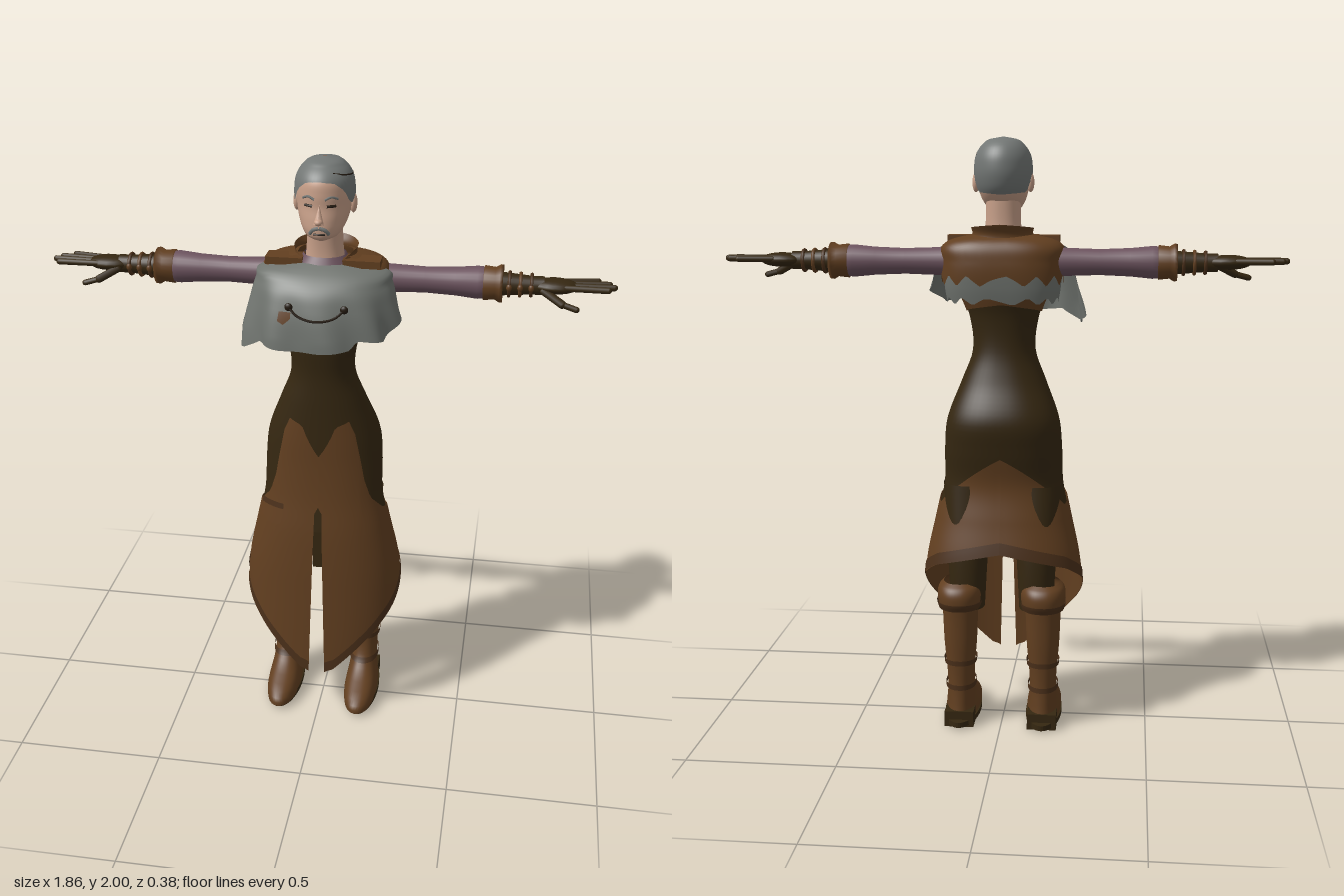
import * as THREE from 'three';
import { mergeVertices } from 'three/addons/utils/BufferGeometryUtils.js';

const mat = (name, color, side = THREE.DoubleSide) => {
  const m = new THREE.MeshStandardMaterial({ color, side });
  m.name = name;
  return m;
};
const brown = mat('brown leather', 0x623f20), dark = mat('dark leather', 0x352711), trim = mat('dark brown trim', 0x4b301a);
const grey = mat('grey cloth', 0x70746f), purple = mat('purple sleeve', 0x6c535e), skin = mat('skin', 0xc8a089);
const hairGrey = mat('grey hair', 0x737775), black = mat('dark detail', 0x241a10);

const V = (x, y, z) => new THREE.Vector3(x, y, z);
const mesh = (name, geo, material, parent) => {
  const m = new THREE.Mesh(geo, material);
  m.name = name;
  parent.add(m);
  return m;
};

// Piecewise line through [angle, height] pairs, or a constant
const line = (k) => {
  if (typeof k === 'number') return () => k;
  const f = new THREE.LinearInterpolant(k.map((p) => p[0]), k.map((p) => p[1]), 1);
  return (t) => f.evaluate(t)[0];
};
// Mirrors an edge given for angles 0..PI onto the full turn
const sym = (k) => {
  const f = line(k);
  return (t) => f(t > Math.PI ? 2 * Math.PI - t : Math.abs(t));
};

// Surface from rows of [y, half width, front z, back z]; angle 0 faces front, PI/2 faces +x
function surface(rows, centre, p = 0.9) {
  const f = new THREE.CubicInterpolant(rows.map((r) => r[0]), rows.flatMap((r) => r.slice(1)), 3);
  const pow = (v) => Math.sign(v) * Math.abs(v) ** p;
  return (t, y, grow = 0) => {
    const [w, zf, zb] = f.evaluate(y);
    const c = centre ?? (zf + zb) / 2;
    const s = pow(Math.sin(t)), k = pow(Math.cos(t));
    return V((Math.max(w, 0) + grow) * s, y, c + ((k > 0 ? zf - c : c - zb) + grow) * k);
  };
}

// Sheet of a surface between two edges
function sheet(surf, { a0 = 0, a1 = Math.PI * 2, top, bottom, grow = 0, n = 48, m = 20, adjust }) {
  const up = typeof top === 'function' ? top : line(top), low = typeof bottom === 'function' ? bottom : line(bottom);
  const pos = [], idx = [];
  for (let i = 0; i <= n; i++) {
    const t = a0 + ((a1 - a0) * i) / n;
    for (let j = 0; j <= m; j++) {
      const y = THREE.MathUtils.lerp(up(t), low(t), j / m);
      const v = surf(t, y, grow);
      if (adjust) adjust(v, t);
      pos.push(v.x, v.y, v.z);
      if (i < n && j < m) {
        const a = i * (m + 1) + j, d = a + m + 1;
        idx.push(a, a + 1, d, a + 1, d + 1, d);
      }
    }
  }
  let g = new THREE.BufferGeometry();
  g.setAttribute('position', new THREE.Float32BufferAttribute(pos, 3));
  g.setIndex(idx);
  g = mergeVertices(g, 1e-5);
  g.computeVertexNormals();
  return g;
}

const tube = (pts, r) => new THREE.TubeGeometry(new THREE.CatmullRomCurve3(pts), 24, r, 6);
function rod(name, a, b, r, material, parent) {
  const d = b.clone().sub(a);
  const o = mesh(name, new THREE.CapsuleGeometry(r, d.length(), 4, 8), material, parent);
  o.position.copy(a).addScaledVector(d, 0.5);
  o.quaternion.setFromUnitVectors(V(0, 1, 0), d.normalize());
}
function ball(name, x, y, z, sx, sy, sz, material, parent) {
  const o = mesh(name, new THREE.SphereGeometry(1, 16, 12), material, parent);
  o.position.set(x, y, z);
  o.scale.set(sx, sy, sz);
  return o;
}

function buildHead(g) {
  const neck = surface([[1.6, 0.075, 0.04, -0.1], [1.7, 0.06, 0.03, -0.085], [1.82, 0.056, 0.04, -0.085]]);
  mesh('neck', sheet(neck, { top: 1.82, bottom: 1.6 }), skin, g);
  const head = surface([[1.752, 0.012, 0.06, 0.02], [1.765, 0.046, 0.085, -0.03], [1.785, 0.064, 0.092, -0.07],
    [1.82, 0.079, 0.09, -0.11], [1.86, 0.087, 0.083, -0.128], [1.9, 0.089, 0.083, -0.132],
    [1.945, 0.08, 0.073, -0.122], [1.975, 0.058, 0.042, -0.097], [1.99, 0.034, 0.012, -0.066], [1.996, 0, -0.025, -0.026]], undefined, 1);
  mesh('head', sheet(head, { top: 1.996, bottom: 1.752, m: 32 }), skin, g);
  const hairline = sym([[0, 1.94], [0.5, 1.935], [0.85, 1.91], [1.1, 1.87], [1.35, 1.86], [1.6, 1.885], [1.85, 1.85], [2, 1.82], [Math.PI, 1.812]]);
  mesh('hair', sheet(head, { top: 1.996, bottom: hairline, grow: 0.007 }), hairGrey, g).position.y = 0.004;
  mesh('hairParting', tube([0.5, 0.9, 1.4, 2].map((t, i) => head(t, 1.965 - i * 0.007, 0.009)), 0.0025), black, g);
  const nose = mesh('nose', new THREE.ConeGeometry(0.017, 0.06, 8), skin, g);
  nose.position.set(0, 1.845, 0.094);
  nose.rotation.x = -0.3;
  ball('noseTip', 0, 1.825, 0.104, 0.014, 0.011, 0.017, skin, g);
  mesh('mouth', tube([-0.5, 0, 0.5].map((t) => head(t * 0.6, 1.782, 0.001)), 0.003), black, g);
  for (const s of [-1, 1]) {
    ball('ear', s * 0.09, 1.855, -0.03, 0.012, 0.032, 0.02, skin, g);
    mesh('eye', tube([0.25, 0.4, 0.58].map((t) => head(s * t, 1.868, 0)), 0.0045), black, g);
    mesh('eyebrow', tube([0.18, 0.4, 0.65].map((t, i) => head(s * t, [1.889, 1.897, 1.89][i], 0.001)), 0.004), hairGrey, g);
    mesh('moustache', tube([0, 0.25, 0.48].map((t, i) => head(s * t, [1.803, 1.797, 1.783][i], 0.003)), 0.006), hairGrey, g);
  }
}

function buildClothes(g) {
  // Fitted body and split coat skirt share one profile
  const body = surface([[0.18, 0.24, 0.16, -0.19], [0.3, 0.262, 0.155, -0.19], [0.5, 0.267, 0.145, -0.19], [0.6, 0.256, 0.14, -0.178],
    [0.73, 0.228, 0.13, -0.148], [0.85, 0.204, 0.115, -0.127], [0.97, 0.2, 0.107, -0.148], [1.07, 0.19, 0.105, -0.16],
    [1.2, 0.142, 0.102, -0.11], [1.3, 0.106, 0.1, -0.086], [1.42, 0.118, 0.11, -0.092], [1.5, 0.145, 0.1, -0.115], [1.66, 0.16, 0.05, -0.12]]);
  mesh('bodice', sheet(body, { top: 1.46, bottom: 0.74, m: 36 }), dark, g);
  mesh('upperTorso', sheet(body, { top: 1.66, bottom: sym([[0, 1.43], [1.6, 1.43], [Math.PI, 1.46]]), grow: 0.006 }), brown, g);
  const waist = sym([[0, 1.02], [0.28, 1.13], [0.6, 1.15], [0.68, 1.08], [0.74, 0.95], [0.95, 0.86], [1.3, 0.81], [1.9, 0.78], [2.5, 0.86], [Math.PI, 0.95]]);
  const hemKeys = [[0, 0.18], [0.2, 0.2], [0.5, 0.28], [0.87, 0.37], [1.57, 0.51], [2.2, 0.575], [Math.PI, 0.63]];
  const hem = sym(hemKeys), hemTop = sym(hemKeys.map(([t, y]) => [t, y + 0.04]));
  for (const s of [1, -1]) {
    // Each half opens at the front below the slit
    const slit = (v, t) => {
      if (Math.cos(t) > 0 && v.y < 0.82) v.x = s * Math.max(s * v.x, 0.012 + (0.82 - v.y) * 0.026);
    };
    const half = { a0: s > 0 ? 0 : Math.PI, a1: s > 0 ? Math.PI : 2 * Math.PI, adjust: slit };
    mesh('coatSkirt', sheet(body, { ...half, top: waist, bottom: hem, grow: 0.006, m: 36 }), brown, g);
    mesh('coatHem', sheet(body, { ...half, top: hemTop, bottom: hem, grow: 0.009, m: 3 }), trim, g);
  }
  mesh('pocket', sheet(body, { a0: -1.05, a1: -0.55, top: 0.83, bottom: 0.74, grow: 0.013, n: 8 }), brown, g);
  mesh('pocketFlap', sheet(body, { a0: -1.08, a1: -0.52, top: 0.835, bottom: 0.815, grow: 0.018, n: 8, m: 2 }), trim, g);
  const strip = mesh('slitLining', new THREE.BoxGeometry(0.04, 0.24, 0.01), dark, g);
  strip.position.set(0, 0.71, 0.105);

  // Draped front shawl with folds
  const cape = surface([[1.39, 0.272, 0.185, 0], [1.46, 0.262, 0.178, 0], [1.55, 0.24, 0.158, 0], [1.61, 0.222, 0.13, 0], [1.65, 0.198, 0.085, 0], [1.67, 0.1, 0.045, 0]], -0.015);
  const folds = (v, t) => {
    const f = 1 + 0.045 * Math.sin(t * 10 + v.y * 9) * Math.min(1, Math.max(0, (1.62 - v.y) * 6));
    v.x *= f;
    v.z *= f;
  };
  const capeHem = [[-1.7, 1.42], [-1.3, 1.39], [-1.05, 1.395], [-0.8, 1.43], [-0.4, 1.42], [0, 1.42], [0.4, 1.43], [0.5, 1.46], [0.9, 1.45], [1.3, 1.49], [1.7, 1.52]];
  mesh('shawl', sheet(cape, { a0: -1.7, a1: 1.7, top: 1.67, bottom: capeHem, n: 72, m: 24, adjust: folds }), grey, g);
  const onCape = (t, y, grow) => {
    const v = cape(t, y, grow);
    folds(v, t);
    return v;
  };
  mesh('shawlChain', tube([-0.34, -0.2, 0, 0.2, 0.34].map((t, i) => onCape(t, [1.56, 1.535, 1.525, 1.535, 1.56][i], 0.005)), 0.004), black, g);
  for (const t of [-0.34, 0.34]) {
    const v = onCape(t, 1.56, 0.004);
    ball('shawlButton', v.x, v.y, v.z, 0.013, 0.013, 0.008, black, g);
  }
  mesh('shawlPatch', sheet(cape, { a0: -0.46, a1: -0.3, top: 1.545, bottom: [[-0.46, 1.515], [-0.38, 1.505], [-0.3, 1.525]], grow: 0.006, n: 8, m: 6, adjust: folds }), brown, g);

  // Back of the shawl, jagged yoke and collar
  const back = surface([[1.44, 0.178, 0.04, -0.15], [1.52, 0.192, 0.04, -0.165], [1.6, 0.194, 0.04, -0.168], [1.655, 0.188, 0.045, -0.155], [1.675, 0.15, 0.04, -0.135], [1.69, 0.08, 0.03, -0.1]], -0.04, 0.7);
  const arc = { a0: 1.2, a1: 2 * Math.PI - 1.2, top: 1.69 };
  mesh('shawlBack', sheet(back, { ...arc, top: 1.58, bottom: (t) => 1.475 + 0.01 * Math.sin(t * 13) }), grey, g);
  const jag = (t) => 1.525 + 0.035 * Math.abs(((t * 2.2) % 1) * 2 - 1);
  mesh('backYoke', sheet(back, { ...arc, a0: 1.0, a1: 2 * Math.PI - 1.0, bottom: jag, grow: 0.008, n: 90 }), brown, g);
  const collar = surface([[1.65, 0.13, 0.05, -0.14], [1.69, 0.1, 0.04, -0.135], [1.72, 0.108, 0.045, -0.15]]);
  mesh('collar', sheet(collar, { a0: 0.6, a1: 2 * Math.PI - 0.6, top: sym([[0.6, 1.68], [1.2, 1.705], [Math.PI, 1.722]]), bottom: 1.65 }), brown, g);
  mesh('shirtNeck', sheet(surface([[1.64, 0.1, 0.065, -0.1], [1.69, 0.068, 0.036, -0.09]]), { top: 1.69, bottom: 1.64, m: 4 }), purple, g);
  for (const s of [-1, 1]) {
    const lapel = mesh('lapel', new THREE.BoxGeometry(0.12, 0.024, 0.07), brown, g);
    lapel.position.set(s * 0.125, 1.672, 0.0);
  }
}

function buildArm() {
  const arm = new THREE.Group();
  arm.name = 'arm';
  const turned = (name, pts, material) => {
    const o = mesh(name, new THREE.LatheGeometry(pts.map(([x, r]) => new THREE.Vector2(r, x)), 24), material, arm);
    o.rotation.z = -Math.PI / 2;
    o.position.set(0, 1.6, -0.07);
  };
  turned('sleeve', [[0.14, 0.05], [0.2, 0.046], [0.32, 0.042], [0.42, 0.046], [0.49, 0.053], [0.53, 0.05], [0.54, 0.03]], purple);
  turned('sleeveCuff', [[0.505, 0.045], [0.51, 0.056], [0.545, 0.052], [0.56, 0.061], [0.57, 0.06], [0.565, 0.03]], brown);
  turned('gloveWrist', [[0.54, 0.04], [0.6, 0.035], [0.66, 0.03], [0.7, 0.03]], dark);
  for (const [x, r] of [[0.59, 0.038], [0.625, 0.036], [0.66, 0.034]]) {
    const ring = mesh('wristStrap', new THREE.TorusGeometry(r, 0.006, 6, 20), x === 0.625 ? brown : trim, arm);
    ring.rotation.y = Math.PI / 2;
    ring.position.set(x, 1.6, -0.07);
    ball('strapBuckle', x, 1.6, -0.07 + r, 0.009, 0.012, 0.008, brown, arm);
  }
  // Gloved hand with spread fingers
  ball('palm', 0.735, 1.602, -0.07, 0.075, 0.024, 0.046, dark, arm);
  [[-0.104, -0.122, 0.87], [-0.084, -0.094, 0.905], [-0.062, -0.066, 0.92], [-0.04, -0.036, 0.9]].forEach(([z0, z1, x]) => {
    rod('finger', V(0.76, 1.605, z0), V(x, 1.606, z1), 0.0105, dark, arm);
  });
  rod('thumb', V(0.7, 1.592, -0.04), V(0.76, 1.56, -0.014), 0.013, dark, arm);
  rod('thumbTip', V(0.76, 1.56, -0.014), V(0.805, 1.548, -0.006), 0.01, dark, arm);
  return arm;
}

function buildLeg() {
  const leg = new THREE.Group();
  leg.name = 'leg';
  const trousers = surface([[0.42, 0.058, -0.01, -0.145], [0.6, 0.068, 0.0, -0.145], [0.85, 0.085, 0.05, -0.12]]);
  mesh('trouserLeg', sheet(trousers, { top: 0.85, bottom: 0.42 }), dark, leg).position.x = -0.025;
  const boot = surface([[0.018, 0.057, 0.172, -0.148], [0.04, 0.059, 0.17, -0.15], [0.065, 0.056, 0.135, -0.147], [0.09, 0.051, 0.07, -0.145], [0.12, 0.047, 0.02, -0.143],
    [0.17, 0.046, -0.01, -0.143], [0.3, 0.056, -0.02, -0.152], [0.4, 0.06, -0.018, -0.157], [0.46, 0.063, -0.012, -0.162]]);
  mesh('boot', sheet(boot, { top: 0.46, bottom: 0.018, m: 32 }), brown, leg);
  const cuff = surface([[0.425, 0.069, 0.0, -0.178], [0.45, 0.075, 0.004, -0.188], [0.5, 0.071, 0, -0.176], [0.515, 0.056, -0.015, -0.155]]);
  mesh('bootCuff', sheet(cuff, { top: 0.515, bottom: 0.425 }), brown, leg);
  mesh('cuffBand', sheet(cuff, { top: 0.45, bottom: 0.425, grow: 0.004, m: 4 }), trim, leg);
  for (const y of [0.13, 0.22]) mesh('bootStrap', sheet(boot, { top: y + 0.018, bottom: y, grow: 0.006, m: 3 }), trim, leg);
  for (let i = 0; i < 6; i++) ball('bootLacing', 0, 0.25 + i * 0.028, -0.016, 0.02, 0.006, 0.007, trim, leg);
  // Sole and heel
  const outline = new THREE.Shape().absellipse(0, -0.012, 0.062, 0.187, 0, Math.PI * 2);
  const sole = mesh('sole', new THREE.ExtrudeGeometry(outline, { depth: 0.018, bevelEnabled: false, curveSegments: 24 }), dark, leg);
  sole.rotation.x = Math.PI / 2;
  sole.position.set(0, 0.026, 0.0);
  sole.scale.y = 0.92;
  const heel = mesh('heel', new THREE.BoxGeometry(0.1, 0.055, 0.1), dark, leg);
  heel.position.set(0, 0.0275, -0.104);
  return leg;
}

export function createModel() {
  const model = new THREE.Group();
  model.name = 'coatedFigure';
  buildHead(model);
  buildClothes(model);
  for (const s of [1, -1]) {
    const arm = buildArm(), leg = buildLeg();
    arm.name = s > 0 ? 'leftArm' : 'rightArm';
    leg.name = s > 0 ? 'leftLeg' : 'rightLeg';
    arm.scale.x = leg.scale.x = s;
    leg.position.x = s * 0.143;
    model.add(arm, leg);
  }
  return model;
}
